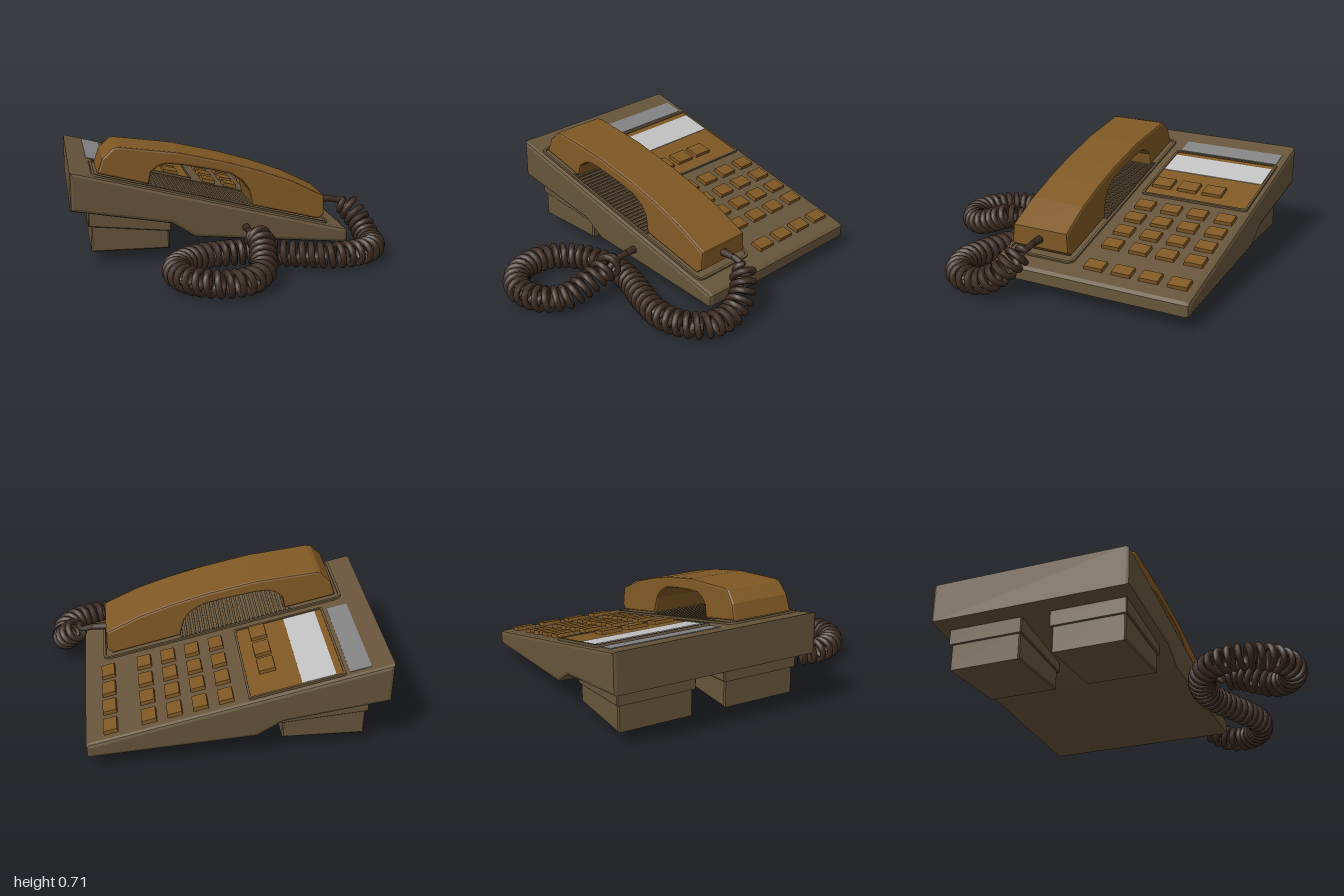
import * as THREE from 'three';

const mat = (name, color, side = THREE.FrontSide) => {
  const m = new THREE.MeshStandardMaterial({ color, side });
  m.name = name;
  return m;
};

export function createModel() {
  const model = new THREE.Group();
  model.name = 'deskPhone';
  const brown = mat('body brown', 0x67553b);
  const ochre = mat('ochre', 0x7f5824);
  const dark = mat('cord brown', 0x3b2b21);
  const white = mat('label white', 0xc2c2c2);
  const grey = mat('label grey', 0x838383);

  const add = (parent, name, geometry, material) => {
    const mesh = new THREE.Mesh(geometry, material);
    mesh.name = name;
    parent.add(mesh);
    return mesh;
  };
  const polygon = pts => new THREE.Shape(pts.map(p => new THREE.Vector2(p[0], p[1])));

  // Side profile extruded across the depth, with bevelled rims
  const slab = (pts, z0, z1, bevel, segments = 2) => {
    const g = new THREE.ExtrudeGeometry(polygon(pts), {
      depth: z1 - z0 - 2 * bevel, bevelEnabled: true, bevelSize: bevel,
      bevelThickness: bevel, bevelOffset: -bevel, bevelSegments: segments,
    });
    return g.translate(0, 0, z0 + bevel);
  };

  // Height of the sloping top at x
  const slope = 0.25;
  const top = x => 0.352 - slope * x;

  // Wedge-shaped body
  add(model, 'body', slab([
    [-0.95, 0.35], [-0.35, 0.25], [-0.21, 0.16], [0.72, 0.08],
    [0.74, 0.09], [0.74, top(0.74) - 0.01], [0.72, top(0.72)], [-0.95, top(-0.95)],
  ], -1, 0.25, 0.022), brown);

  // Two stepped rear feet
  for (const [z0, z1] of [[-0.92, -0.47], [-0.27, 0.18]]) {
    const foot = new THREE.Group();
    foot.name = 'foot';
    add(foot, 'footCollar', slab([
      [-0.845, 0.24], [-0.35, 0.19], [-0.35, 0.27], [-0.845, 0.36],
    ], z0 - 0.012, z1 + 0.012, 0.006, 1), brown);
    add(foot, 'footBlock', slab([
      [-0.83, 0.08], [-0.36, 0.08], [-0.36, 0.22], [-0.83, 0.27],
    ], z0, z1, 0.008, 1), brown);
    model.add(foot);
  }

  // Everything on the sloping deck sits in one tilted group
  const deck = new THREE.Group();
  deck.name = 'deck';
  deck.position.y = top(0);
  deck.rotation.z = -Math.atan(slope);
  model.add(deck);
  const stretch = Math.hypot(1, slope);
  const plate = (name, x0, x1, z0, z1, h, material, base = -0.01) => {
    const mesh = add(deck, name, new THREE.BoxGeometry((x1 - x0) * stretch, h - base, z1 - z0), material);
    mesh.position.set((x0 + x1) / 2 * stretch, (h + base) / 2, (z0 + z1) / 2);
    return mesh;
  };
  const rounded = (Kind, x0, x1, z0, z1, r) => {
    const s = new Kind(), a = x0 * stretch, b = x1 * stretch, c = -z1, d = -z0;
    s.moveTo(a + r, c).lineTo(b - r, c).quadraticCurveTo(b, c, b, c + r);
    s.lineTo(b, d - r).quadraticCurveTo(b, d, b - r, d);
    s.lineTo(a + r, d).quadraticCurveTo(a, d, a, d - r);
    s.lineTo(a, c + r).quadraticCurveTo(a, c, a + r, c);
    return s;
  };
  const frame = (name, x0, x1, z0, z1, r, width, h) => {
    const s = rounded(THREE.Shape, x0, x1, z0, z1, r);
    s.holes.push(rounded(THREE.Path, x0 + width, x1 - width, z0 + width, z1 - width, r * 0.7));
    const g = new THREE.ExtrudeGeometry(s, { depth: h + 0.005, bevelEnabled: false, curveSegments: 5 });
    add(deck, name, g.rotateX(-Math.PI / 2).translate(0, -0.005, 0), brown);
  };

  // Handset cradle with grip ribs
  frame('cradleRim', -0.82, 0.625, -0.225, 0.22, 0.05, 0.015, 0.012);
  for (let i = 0; i < 25; i++) {
    const x = -0.515 + i * 0.0272;
    plate('cradleRib', x, x + 0.013, -0.2, 0.2, 0.01, brown);
  }

  // Index panel and labels
  frame('panelFrame', -0.69, -0.16, -0.97, -0.28, 0.012, 0.013, 0.014);
  plate('panel', -0.677, -0.173, -0.957, -0.293, 0.008, ochre);
  plate('whiteLabel', -0.64, -0.455, -0.952, -0.3, 0.012, white, 0.007);
  plate('greyLabel', -0.83, -0.712, -0.952, -0.3, 0.004, grey, -0.003);

  // Keys with a narrowed top
  const key = (x, z, w, d, h) => {
    const mesh = plate('key', x - w / 2, x + w / 2, z - d / 2, z + d / 2, h, ochre);
    const p = mesh.geometry.attributes.position;
    for (let i = 0; i < p.count; i++) {
      if (p.getY(i) > 0) p.setXYZ(i, p.getX(i) * 0.94, p.getY(i), p.getZ(i) * 0.95);
    }
    mesh.geometry.computeVertexNormals();
  };
  for (const z of [-0.71, -0.545, -0.375]) key(-0.292, z, 0.097, 0.13, 0.028);
  for (const z of [-0.885, -0.71, -0.54, -0.365]) {
    for (const x of [-0.042, 0.1, 0.242, 0.384]) key(x, z, 0.085, 0.115, 0.022);
    key(0.598, z, 0.08, 0.12, 0.022);
  }

  // Arched handset, slightly narrower towards its top
  const handset = slab([
    [-0.785, top(-0.785) + 0.012], [-0.48, top(-0.48) + 0.012], [-0.465, 0.555],
    [-0.42, 0.59], [-0.37, 0.603], [-0.28, 0.592], [-0.1, 0.557], [0.02, 0.525],
    [0.09, 0.48], [0.13, 0.425], [0.155, top(0.155) + 0.012],
    [0.57, top(0.57) + 0.012], [0.605, 0.25], [0.605, 0.365], [0.4, 0.468],
    [0.2, 0.54], [0, 0.6], [-0.3, 0.67], [-0.66, 0.717], [-0.69, 0.712],
    [-0.755, 0.65],
  ], -0.19, 0.19, 0.014);
  const hp = handset.attributes.position;
  for (let i = 0; i < hp.count; i++) {
    const lift = hp.getY(i) - top(hp.getX(i));
    hp.setZ(i, hp.getZ(i) * (1 - 0.45 * Math.max(0, lift - 0.03)));
  }
  handset.computeVertexNormals();
  add(model, 'handset', handset, ochre);

  // Coiled cord: plain leads at both ends, a helix around the path between
  const V = (x, y, z) => new THREE.Vector3(x, y, z);
  const path = new THREE.CatmullRomCurve3([
    [0.75, 0.29, 0.01], [0.81, 0.24, 0.05], [0.86, 0.16, 0.12], [0.875, 0.095, 0.23],
    [0.86, 0.085, 0.36], [0.77, 0.085, 0.46], [0.6, 0.085, 0.505], [0.4, 0.085, 0.455],
    [0.2, 0.085, 0.375], [0.05, 0.085, 0.345], [-0.1, 0.085, 0.36], [-0.26, 0.085, 0.43],
    [-0.36, 0.085, 0.55], [-0.38, 0.085, 0.7], [-0.31, 0.085, 0.84], [-0.16, 0.085, 0.92],
    [0, 0.085, 0.88], [0.09, 0.1, 0.77], [0.12, 0.15, 0.64], [0.135, 0.2, 0.52], [0.11, 0.2, 0.41],
  ].map(p => V(...p)));
  const turns = Math.round(path.getLength() / 0.054), steps = turns * 12;
  const frames = path.computeFrenetFrames(steps, false);
  const points = [V(0.59, 0.3, 0), V(0.66, 0.303, 0), V(0.71, 0.298, 0)];
  for (let i = 0; i <= steps; i++) {
    const a = i / 12 * Math.PI * 2;
    const r = 0.063 * Math.min(1, (i + 2) / 14, (steps - i + 2) / 14);
    points.push(path.getPointAt(i / steps)
      .addScaledVector(frames.normals[i], r * Math.cos(a))
      .addScaledVector(frames.binormals[i], r * Math.sin(a)));
  }
  points.push(V(0.1, 0.205, 0.36), V(0.1, 0.21, 0.3), V(0.1, 0.21, 0.23));
  const coil = new THREE.CatmullRomCurve3(points);
  coil.arcLengthDivisions = 3000;
  add(model, 'coiledCord', new THREE.TubeGeometry(coil, turns * 16, 0.0195, 7, false), dark);

  // Strain reliefs where the cord enters handset and body
  const sleeve = add(model, 'handsetSleeve', new THREE.CylinderGeometry(0.02, 0.025, 0.09, 10), dark);
  sleeve.rotation.z = -Math.PI / 2;
  sleeve.position.set(0.64, 0.302, 0);
  const bodySleeve = add(model, 'bodySleeve', new THREE.CylinderGeometry(0.02, 0.024, 0.08, 10), dark);
  bodySleeve.rotation.x = Math.PI / 2;
  bodySleeve.position.set(0.1, 0.21, 0.28);

  return model;
}
